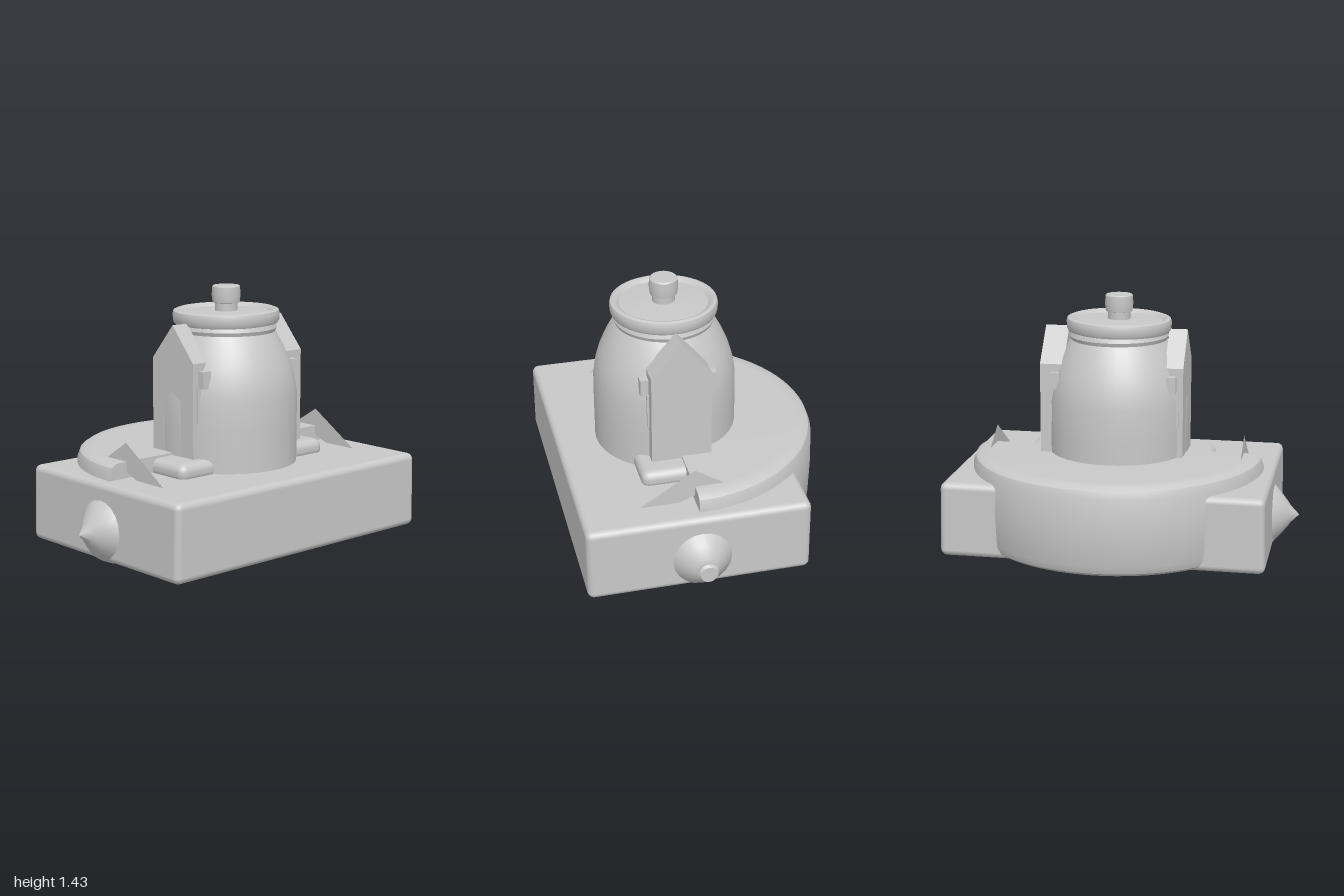
import * as THREE from 'three';
import { toCreasedNormals } from 'three/addons/utils/BufferGeometryUtils.js';
import { RoundedBoxGeometry } from 'three/addons/geometries/RoundedBoxGeometry.js';

const CZ = 0.1; // shared centre line of vessel, drum and spindle
const grey = new THREE.MeshStandardMaterial({ color: 0xc8c8c8 });
grey.name = 'light grey';
const greySheet = new THREE.MeshStandardMaterial({ color: 0xc8c8c8, side: THREE.DoubleSide });
greySheet.name = 'light grey sheet';

const vec = (pts) => pts.map(([x, y]) => new THREE.Vector2(x, y));

export function createModel() {
  const model = new THREE.Group();
  model.name = 'model';

  function add(name, geometry, x = 0, y = 0, z = 0, material = grey) {
    const mesh = new THREE.Mesh(geometry, material);
    mesh.name = name;
    mesh.position.set(x, y, z);
    model.add(mesh);
    return mesh;
  }
  const lathe = (pts, segments, start = 0, length = Math.PI * 2) =>
    toCreasedNormals(new THREE.LatheGeometry(vec(pts), segments, start, length), 0.6);

  // Base slab, with slightly uneven sides
  const slab = new RoundedBoxGeometry(1.72, 0.405, 1.18, 3, 0.035);
  const p = slab.attributes.position;
  for (let i = 0; i < p.count; i++) {
    const low = p.getY(i) < 0 ? 1 : 0;
    p.setX(i, p.getX(i) * (1 + 0.008 * low));
  }
  add('base', slab, 0, 0.293, 0.11);

  // Half-round drum at the back, closed by a flat front wall
  const drumProfile = [[0, 0.095], [0.7, 0.095], [0.755, 0.1], [0.785, 0.12], [0.8, 0.16],
    [0.805, 0.34], [0.8, 0.52], [0.785, 0.56], [0.755, 0.58], [0.7, 0.582], [0, 0.582]];
  add('rearDrum', lathe(drumProfile, 40, Math.PI / 2, Math.PI), 0, 0, CZ);
  const wall = [...drumProfile, ...drumProfile.slice().reverse().map(([x, y]) => [-x, y])];
  add('drumFrontWall', new THREE.ShapeGeometry(new THREE.Shape(vec(wall))), 0, 0, CZ, greySheet);

  // Spindle lying across the base: its belly shows below, its caps at both ends
  const half = [[0.155, 0.865], [0.185, 0.8], [0.21, 0.62], [0.225, 0.4], [0.24, 0.2]];
  const spindle = [[0, -1], [0.015, -0.985], [0.05, -0.95], [0.06, -0.945], [0.11, -0.905],
    ...half.map(([r, x]) => [r, -x]), [0.245, 0], ...half.slice().reverse(),
    [0.11, 0.905], [0.06, 0.945], [0.03, 0.95], [0.03, 0.968], [0.05, 0.972],
    [0.055, 0.985], [0.045, 1], [0, 1]];
  add('spindle', lathe(spindle, 20), 0, 0.25, CZ).rotation.z = -Math.PI / 2;

  // Thin plate under the base
  add('bottomPlate', new THREE.BoxGeometry(0.5, 0.008, 0.64), 0.1, 0.073, 0.22);

  // Vessel with rounded shoulder and neck
  add('vessel', lathe([[0.38, 0.48], [0.381, 0.7], [0.38, 0.87], [0.368, 0.95], [0.345, 1.03],
    [0.31, 1.11], [0.275, 1.175], [0.262, 1.195], [0.27, 1.215], [0.262, 1.235], [0.2, 1.24]], 40), 0, 0, CZ);

  // Dished lid, tilted very slightly
  add('lid', lathe([[0, -0.03], [0.25, -0.03], [0.275, -0.025], [0.283, -0.01], [0.285, 0.025],
    [0.28, 0.042], [0.265, 0.048], [0.252, 0.044], [0.235, 0.028], [0.12, 0.036], [0, 0.04]], 40),
  0, 1.265, CZ).rotation.z = 0.015;

  // Lid knob
  add('knob', lathe([[0.06, 1.28], [0.06, 1.342], [0.072, 1.345], [0.077, 1.385], [0.074, 1.43],
    [0.068, 1.436], [0, 1.436]], 24), 0, 0, CZ);

  // Pointed side panels, clasps, feet and fins on both sides
  for (const side of [1, -1]) {
    const name = side > 0 ? 'left' : 'right';
    const outer = side > 0 ? 0.405 : 0.375;
    const panel = new THREE.Shape(vec([[-0.16, 0.48], [0.16, 0.48], [0.16, 1.07], [0, 1.255], [-0.16, 1.07]]));
    const panelGeo = new THREE.ExtrudeGeometry(panel, { depth: outer - 0.275, bevelEnabled: false });
    add(name + 'Panel', panelGeo, side > 0 ? 0.275 : -outer, 0, CZ).rotation.y = Math.PI / 2;

    for (const end of [1, -1]) {
      const z = CZ + end * 0.175;
      add(name + 'Clasp', new THREE.BoxGeometry(0.05, 0.09, 0.045), side * 0.315, 0.985, z + end * 0.005);
      add(name + 'ClaspStrip', new THREE.BoxGeometry(0.03, 0.19, 0.016), side * 0.337, 0.85, z - end * 0.012);
    }

    add(name + 'Foot', new RoundedBoxGeometry(0.26, 0.1, 0.4, 3, 0.045), side * 0.385, 0.52, 0.135);

    const fin = new THREE.Shape(vec([[-0.4, 0.49], [-0.2, 0.49], [0.05, 0.585], [-0.1, 0.68]]));
    add(name + 'Fin', new THREE.ShapeGeometry(fin), side * 0.69, 0, 0, greySheet).rotation.y = Math.PI / 2;
  }
  return model;
}
